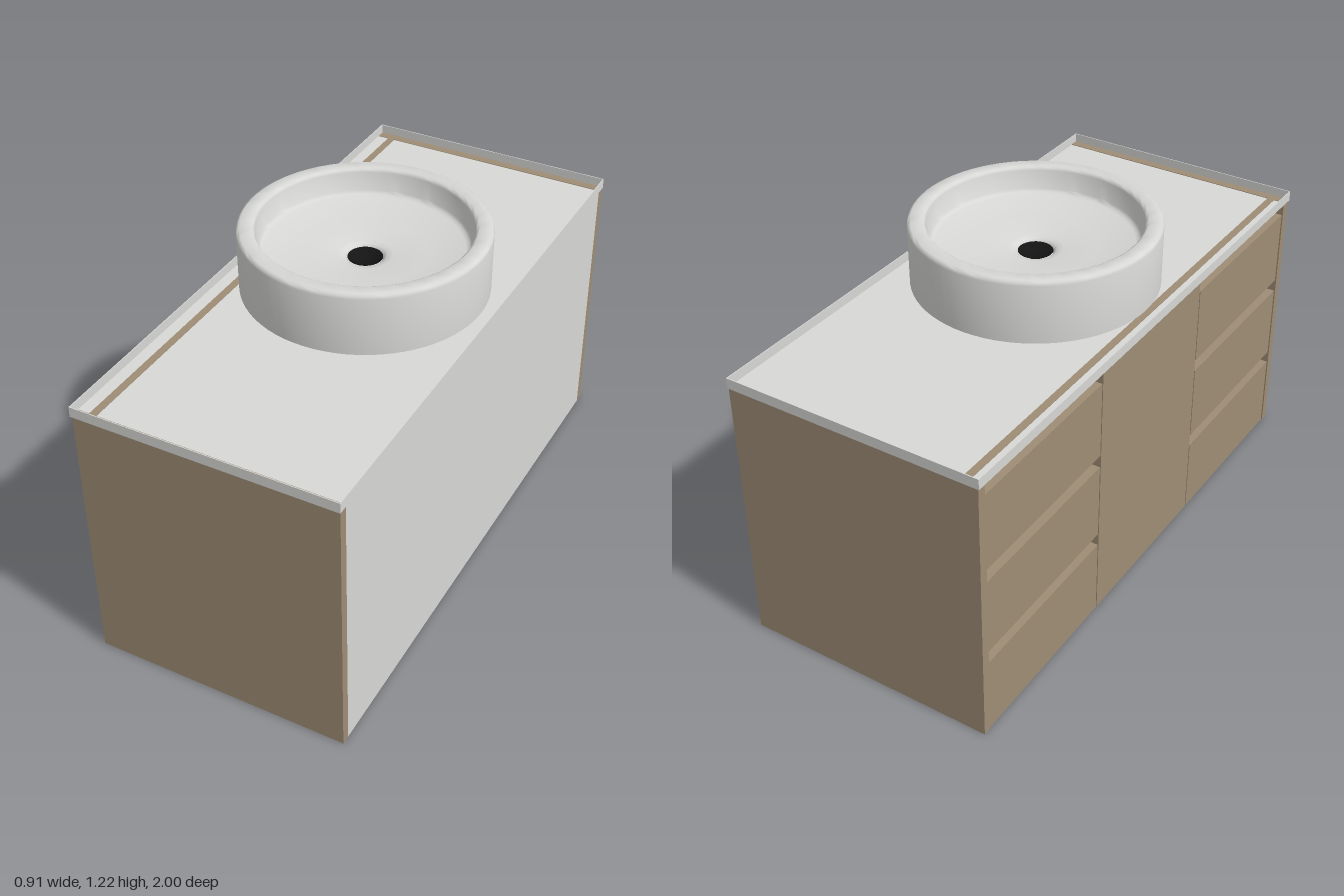
import * as THREE from 'three';
import { toCreasedNormals } from 'three/addons/utils/BufferGeometryUtils.js';

export function createModel() {
  const model = new THREE.Group();
  model.name = 'washbasinCabinet';

  const mat = (name, color) => {
    const m = new THREE.MeshStandardMaterial({ color });
    m.name = name;
    return m;
  };
  const white = mat('white', 0xd8d8d6);
  const wood = mat('wood', 0x9f8d75);
  const black = mat('black', 0x141414);

  // Box given by its lower and upper limits on each axis
  const box = (name, material, [x0, x1], [y0, y1], [z0, z1], parent = model) => {
    const mesh = new THREE.Mesh(new THREE.BoxGeometry(x1 - x0, y1 - y0, z1 - z0), material);
    mesh.position.set((x0 + x1) / 2, (y0 + y1) / 2, (z0 + z1) / 2);
    mesh.name = name;
    parent.add(mesh);
    return mesh;
  };

  const lathe = (name, material, points, crease) => {
    const profile = points.map(([r, y]) => new THREE.Vector2(r, y));
    const geometry = toCreasedNormals(new THREE.LatheGeometry(profile, 72), crease);
    const mesh = new THREE.Mesh(geometry, material);
    mesh.name = name;
    model.add(mesh);
  };

  // Carcass, and the wooden backing behind the fronts
  box('carcass', white, [-0.385, 0.45], [0, 0.958], [-0.965, 0.965]);
  box('carcassBase', white, [-0.41, -0.385], [0, 0.02], [-0.965, 0.965]);
  box('frontBacking', wood, [-0.41, -0.385], [0.02, 0.965], [-0.965, 0.965]);

  // End panels
  for (const s of [-1, 1]) {
    const z = s < 0 ? [-0.996, -0.965] : [0.965, 0.996];
    box('endPanel', wood, [-0.45, 0.45], [0, 0.965], z);
  }

  // Centre door and two stacks of three drawers with finger gaps
  box('door', wood, [-0.447, -0.41], [0, 0.957], [-0.318, 0.318]);
  for (const z of [[-0.961, -0.323], [0.323, 0.961]]) {
    const stack = new THREE.Group();
    stack.name = 'drawerStack';
    model.add(stack);
    for (let i = 0; i < 3; i++) {
      box('drawerFront', wood, [-0.447, -0.41], [i * 0.32, i * 0.32 + 0.275], z, stack);
    }
  }

  // Shallow open countertop: floor and four thin rim walls
  const top = new THREE.Group();
  top.name = 'countertop';
  model.add(top);
  const rim = [0.96, 0.996];
  box('countertopFloor', white, [-0.455, 0.452], [0.96, 0.963], [-1, 1], top);
  box('rimWall', white, [-0.455, -0.452], rim, [-1, 1], top);
  box('rimWall', white, [0.449, 0.452], rim, [-1, 1], top);
  box('rimWall', white, [-0.455, 0.452], rim, [-1, -0.997], top);
  box('rimWall', white, [-0.455, 0.452], rim, [0.997, 1], top);

  // Round basin: outer wall, rounded lip, inner wall, dished floor
  lathe('basin', white, [
    [0, 0.996], [0.413, 0.996], [0.414, 1.2], [0.411, 1.21], [0.403, 1.215],
    [0.364, 1.215], [0.357, 1.211], [0.354, 1.203], [0.344, 1.14], [0.337, 1.131],
    [0.325, 1.127], [0.2, 1.113], [0.09, 1.102], [0.07, 1.098], [0.06, 1.09], [0.057, 1.075],
  ], 0.75);

  // Drain funnel
  lathe('drain', black, [[0.058, 1.092], [0.05, 1.088], [0.03, 1.074], [0, 1.07]], 0.6);

  return model;
}
